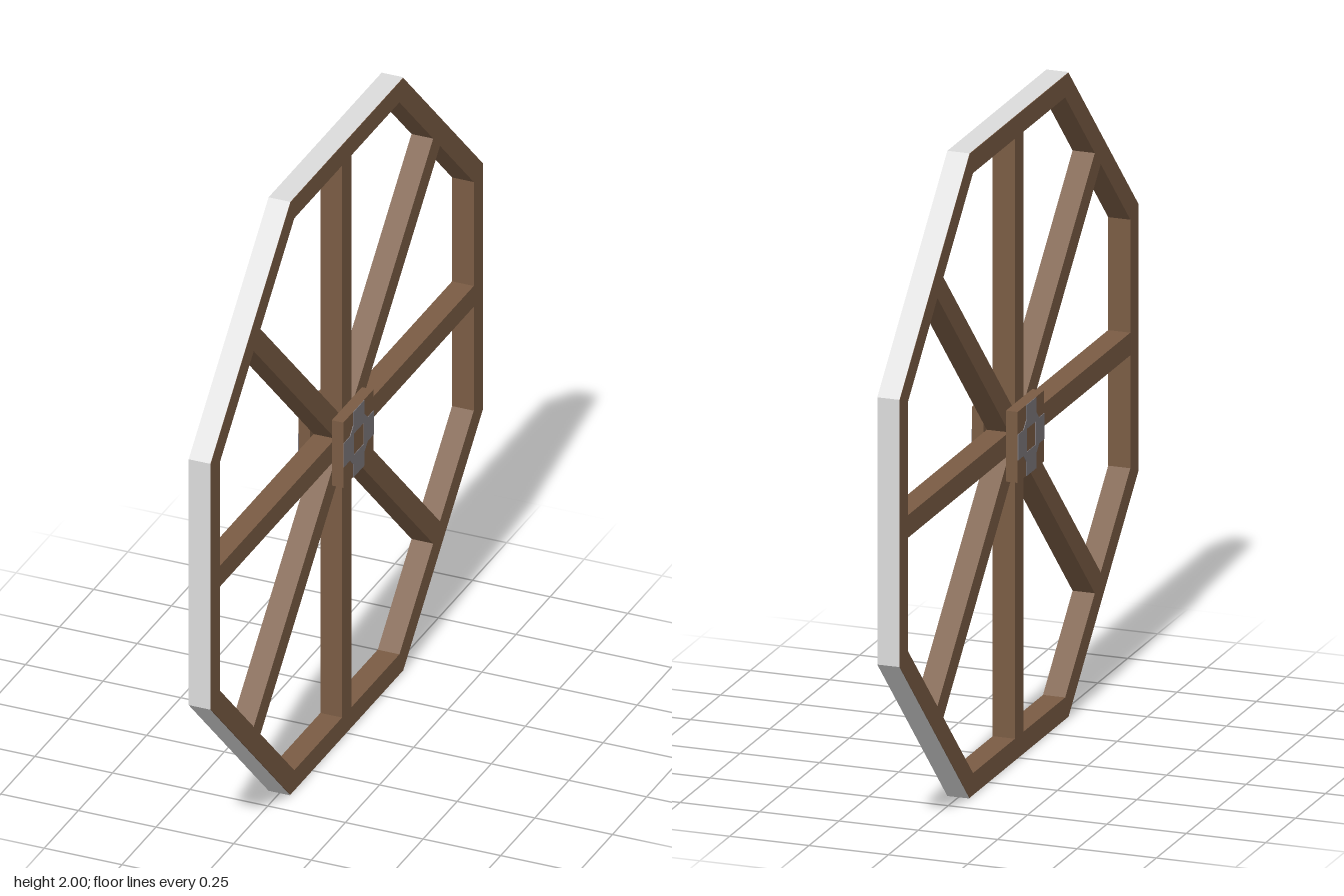
import * as THREE from 'three';

const APOTHEM = 1, RIM = 0.07, THICK = 0.07;
const HUB = 0.22, HUB_X = 0.072;

const wood = new THREE.MeshStandardMaterial({ color: 0x7a5c44 });
wood.name = 'brown wood';
const tyreGrey = new THREE.MeshStandardMaterial({ color: 0xdcdcdc });
tyreGrey.name = 'pale grey';
const iron = new THREE.MeshStandardMaterial({ color: 0x7d787c });
iron.name = 'iron grey';

// Regular octagon with flat top, given its apothem
function octagon(apothem) {
  const r = apothem / Math.cos(Math.PI / 8);
  return Array.from({ length: 8 }, (_, i) => {
    const a = Math.PI / 8 + i * Math.PI / 4;
    return new THREE.Vector2(r * Math.cos(a), r * Math.sin(a));
  });
}

// Extrude in the z-y plane, centred on x = 0
function extrudeAlongX(shape, depth) {
  return new THREE.ExtrudeGeometry(shape, { depth, bevelEnabled: false })
    .translate(0, 0, -depth / 2).rotateY(Math.PI / 2);
}

export function createModel() {
  const model = new THREE.Group();
  model.name = 'wheel';
  const add = (name, geometry, material, x = 0) => {
    const mesh = new THREE.Mesh(geometry, material);
    mesh.name = name;
    mesh.position.set(x, 1, 0);
    model.add(mesh);
    return mesh;
  };

  // Wooden rim
  const rimShape = new THREE.Shape(octagon(APOTHEM - 0.002));
  rimShape.holes.push(new THREE.Path(octagon(APOTHEM - RIM)));
  add('rim', extrudeAlongX(rimShape, THICK), wood);

  // Pale outer faces around the rim
  const r = APOTHEM / Math.cos(Math.PI / 8);
  const tyre = new THREE.CylinderGeometry(r, r, THICK, 8, 1, true, Math.PI / 8)
    .rotateZ(Math.PI / 2).toNonIndexed();
  tyre.computeVertexNormals();
  add('tyre', tyre, tyreGrey);

  // Four bars across the wheel make eight spokes
  for (let i = 0; i < 4; i++) {
    const bar = new THREE.BoxGeometry(THICK, 2 * (APOTHEM - RIM) + 0.004, 0.07);
    add('spokes', bar, wood).rotation.x = i * Math.PI / 4;
  }

  // Iron inlay: notched square around a wooden centre
  const h = HUB / 2, n = 0.045, c = 0.07;
  const inlay = new THREE.Shape();
  for (let i = 0; i < 4; i++) {
    const a = i * Math.PI / 2;
    for (const [u, v] of [[h, -h + c], [h, h - c], [h - n, h - c], [h - c, h - n]]) {
      const x = u * Math.cos(a) - v * Math.sin(a);
      const y = u * Math.sin(a) + v * Math.cos(a);
      i === 0 && v === -h + c ? inlay.moveTo(x, y) : inlay.lineTo(x, y);
    }
  }
  inlay.closePath();
  const s = 0.036;
  inlay.holes.push(new THREE.Path([[-s, -s], [-s, s], [s, s], [s, -s]]
    .map(([x, y]) => new THREE.Vector2(x, y))));

  // Hub plate and inlay on both sides
  const plate = HUB_X - THICK / 2;
  for (const side of [1, -1]) {
    add('hubPlate', new THREE.BoxGeometry(plate, HUB, HUB), wood, side * (THICK / 2 + plate / 2));
    add('hubInlay', extrudeAlongX(inlay, 0.003), iron, side * (HUB_X + 0.0005));
  }
  return model;
}
